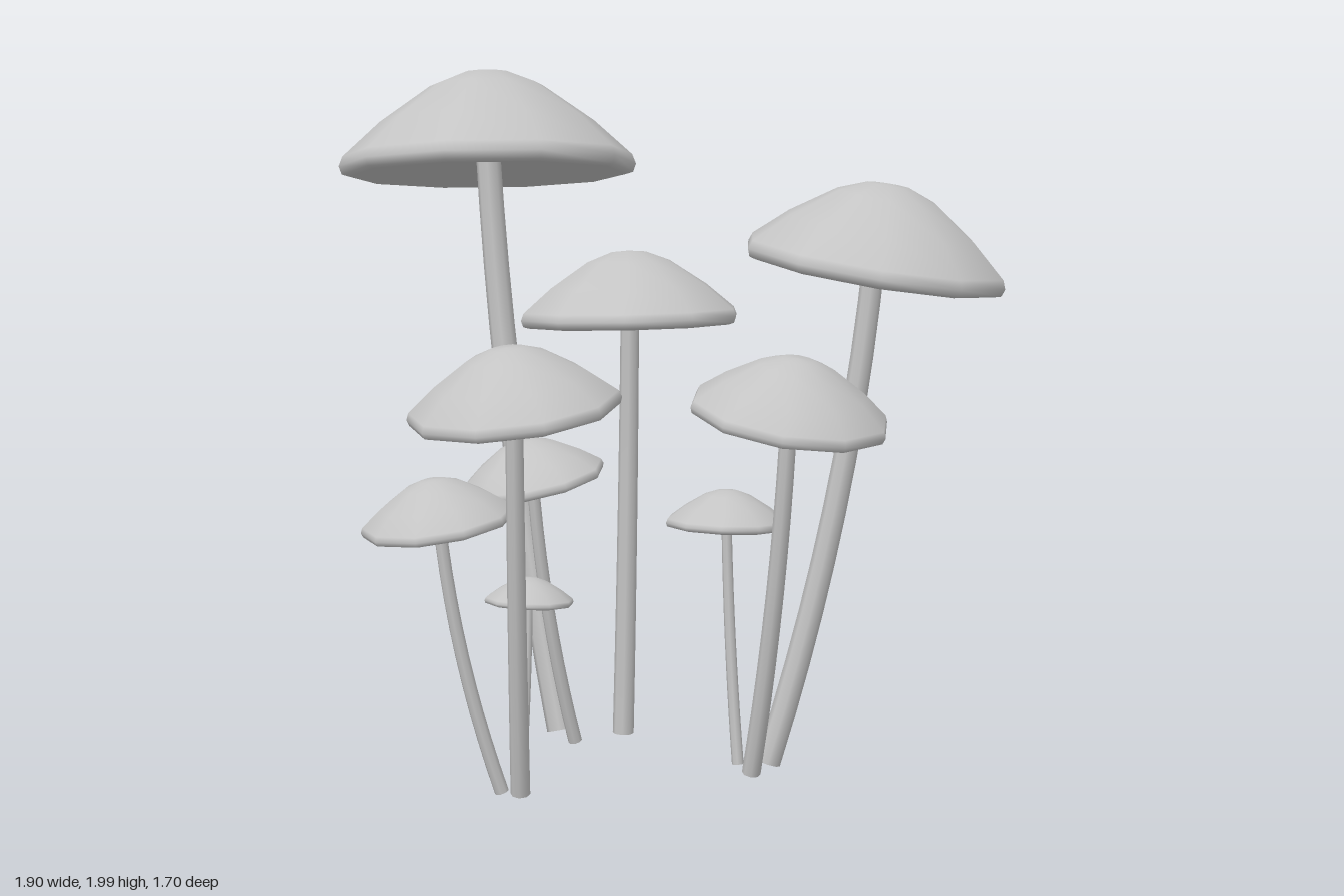
import * as THREE from 'three';
import { mergeGeometries } from 'three/addons/utils/BufferGeometryUtils.js';

const UP = new THREE.Vector3(0, 1, 0);

// Ten-sided domed cap with a rounded lip and a shallow hollow underside; y = 0 is the rim.
function capGeometry(R, spin) {
  const h = R * (0.48 + 0.32 * R); // larger caps are a little taller in proportion
  const profile = [
    [0.0001, 0.03 * R], [0.55 * R, 0], [0.93 * R, -0.08 * R], [0.98 * R, -0.065 * R], [R, -0.01 * R],
    [0.975 * R, 0.055 * R], [0.72 * R, 0.46 * h], [0.38 * R, 0.84 * h], [0.16 * R, 0.98 * h], [0.0001, h],
  ].map(([x, y]) => new THREE.Vector2(x, y));
  return new THREE.LatheGeometry(profile, 10, spin);
}

// Stem that leans out from the foot and straightens under the cap, tapering upwards; a disc closes the foot.
function stemGeometry(foot, top, r) {
  const bend = foot.clone().lerp(top, 0.78).setY((foot.y + top.y) / 2);
  const curve = new THREE.QuadraticBezierCurve3(foot, bend, top);
  const segments = 10, sides = 8;
  const tube = new THREE.TubeGeometry(curve, segments, r, sides);
  const pos = tube.attributes.position;
  const v = new THREE.Vector3();
  for (let i = 0; i < pos.count; i++) {
    const t = Math.floor(i / (sides + 1)) / segments;
    const centre = curve.getPointAt(t);
    v.fromBufferAttribute(pos, i).sub(centre).multiplyScalar(1 - 0.14 * t).add(centre);
    pos.setXYZ(i, v.x, v.y, v.z);
  }
  const disc = new THREE.CircleGeometry(r, sides);
  const down = curve.getTangentAt(0).negate();
  disc.applyQuaternion(new THREE.Quaternion().setFromUnitVectors(new THREE.Vector3(0, 0, 1), down));
  disc.translate(foot.x, foot.y, foot.z);
  return mergeGeometries([tube, disc]);
}

// One mushroom: R is the cap radius, slope the rise of the rim along x and z, spin the turn of the cap.
function mushroom(material, { name, rim, R, slope, foot, spin = 0.1 }) {
  const group = new THREE.Group();
  group.name = name;

  const cap = new THREE.Mesh(capGeometry(R, spin), material);
  cap.name = 'cap';
  cap.position.set(...rim);
  cap.quaternion.setFromUnitVectors(UP, new THREE.Vector3(-slope[0], 1, -slope[1]).normalize());

  // The stem runs a little way into the cap
  const top = cap.position.clone().addScaledVector(UP, 0.1 * R);
  const stem = new THREE.Mesh(stemGeometry(new THREE.Vector3(...foot), top, 0.096 * R), material);
  stem.name = 'stem';

  group.add(cap, stem);
  return group;
}

export function createModel() {
  const grey = new THREE.MeshStandardMaterial({ color: 0xc4c4c4 });
  grey.name = 'paleGrey';
  const model = new THREE.Group();
  model.name = 'mushroomCluster';
  const add = (options) => model.add(mushroom(grey, options));

  // Four tall mushrooms at the back and sides
  add({ name: 'tallMushroom', rim: [-0.535, 1.72, 0.01], R: 0.445, slope: [0.12, 0.08], foot: [-0.2, 0.045, 0.01], spin: 0 });
  add({ name: 'largeBackMushroom', rim: [0.58, 1.465, -0.485], R: 0.375, slope: [-0.13, 0.09], foot: [0.445, 0.045, -0.22], spin: 0.17 });
  add({ name: 'middleMushroom', rim: [-0.09, 1.285, -0.165], R: 0.327, slope: [0.06, 0.02], foot: [-0.078, 0.035, -0.13], spin: 0.17 });
  add({ name: 'sideMushroom', rim: [0.64, 1.085, -0.095], R: 0.275, slope: [-0.2, 0], foot: [0.475, 0.04, -0.125] });

  // Front clump and the small ones
  add({ name: 'frontMushroom', rim: [0.28, 1.125, 0.565], R: 0.285, slope: [0, -0.15], foot: [0.16, 0.025, 0.455], spin: -0.09 });
  add({ name: 'smallMiddleMushroom', rim: [-0.11, 0.84, 0.19], R: 0.212, slope: [0.08, -0.19], foot: [-0.105, 0.035, 0.035] });
  add({ name: 'smallFrontMushroom', rim: [0.01, 0.79, 0.615], R: 0.212, slope: [0.04, -0.15], foot: [0.09, 0.015, 0.465], spin: 0 });
  add({ name: 'smallSideMushroom', rim: [0.33, 0.733, -0.16], R: 0.175, slope: [0.03, 0.06], foot: [0.4, 0.045, -0.145] });
  add({ name: 'tinyMushroom', rim: [0.085, 0.543, 0.36], R: 0.125, slope: [0.03, 0.08], foot: [0.1, 0.02, 0.402] });
  return model;
}
